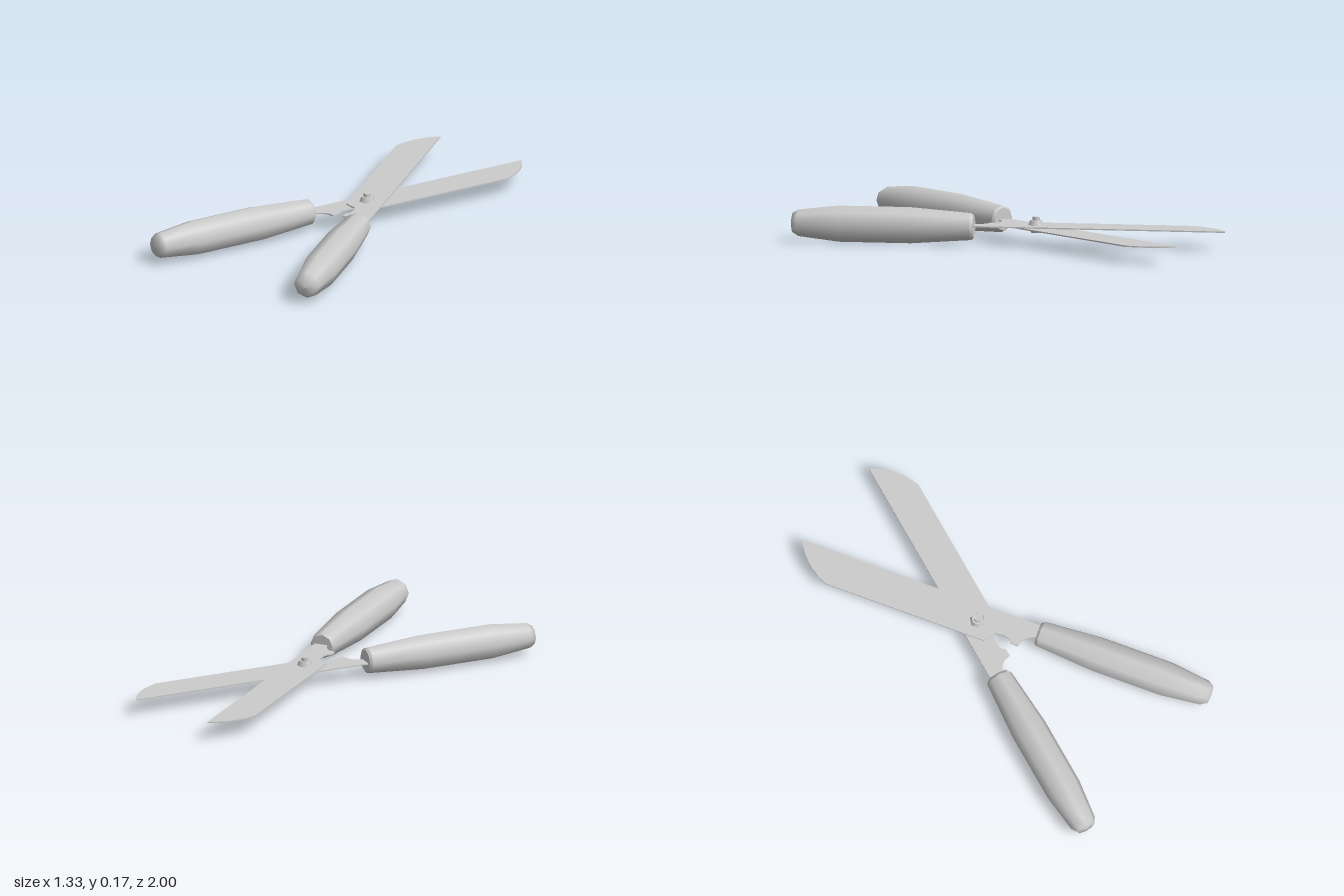
import * as THREE from 'three';

const grey = new THREE.MeshStandardMaterial({ color: 0xcccccc });
const PIVOT = [0.12, 0.086, -0.12];

function add(parent, geometry, name) {
  const mesh = new THREE.Mesh(geometry, grey);
  mesh.name = name;
  parent.add(mesh);
  return mesh;
}

// Blade and tang in one flat plate, drawn around the pivot with the tip at +y
function bladeGeometry() {
  const s = new THREE.Shape();
  s.moveTo(0.08, -0.34);
  s.lineTo(0.08, 0.88);
  s.quadraticCurveTo(-0.02, 0.84, -0.08, 0.71);
  s.lineTo(-0.08, -0.06);
  s.lineTo(-0.05, -0.085);
  s.lineTo(-0.03, -0.095);
  // notch
  s.quadraticCurveTo(-0.02, -0.13, -0.03, -0.165);
  s.lineTo(-0.048, -0.18);
  s.lineTo(-0.05, -0.215);
  s.lineTo(-0.022, -0.222);
  // neck into the handle
  s.quadraticCurveTo(0.01, -0.24, 0.018, -0.28);
  s.lineTo(0.018, -0.34);
  const g = new THREE.ExtrudeGeometry(s, { depth: 0.006, bevelEnabled: false, curveSegments: 6 });
  return g.rotateX(-Math.PI / 2).translate(0, 0.0015, 0);
}

// Eight-sided grip; repeated points keep the front rim sharp
function handleGeometry() {
  const profile = [
    [0, 0.28], [0.053, 0.28], [0.053, 0.28], [0.062, 0.292], [0.062, 0.292],
    [0.083, 0.57], [0.083, 0.9], [0.061, 1.085], [0.045, 1.112], [0, 1.12],
  ].map(([r, y]) => new THREE.Vector2(r, y));
  return new THREE.LatheGeometry(profile, 8).rotateX(Math.PI / 2).translate(0.045, 0, 0);
}

function makeHalf(name) {
  const half = new THREE.Group();
  half.name = name;
  add(half, bladeGeometry(), 'blade');
  add(half, handleGeometry(), 'handle');
  half.position.set(...PIVOT);
  return half;
}

export function createModel() {
  const model = new THREE.Group();
  model.name = 'gardenShears';

  const straight = makeHalf('straightHalf');
  const angled = makeHalf('angledHalf');
  // turned over, then swung open about the pivot
  angled.rotation.set(0, THREE.MathUtils.degToRad(-40.5), Math.PI);
  model.add(straight, angled);

  // Pivot bolt: hex nut on top, threaded end through it, round head below
  const bolt = new THREE.Group();
  bolt.name = 'pivotBolt';
  bolt.position.set(...PIVOT);
  add(bolt, new THREE.CylinderGeometry(0.028, 0.036, 0.022, 6), 'nut').position.y = 0.018;
  add(bolt, new THREE.CylinderGeometry(0.016, 0.018, 0.07, 10), 'shaft').position.y = 0.01;
  add(bolt, new THREE.CylinderGeometry(0.034, 0.024, 0.02, 10), 'head').position.y = -0.017;
  model.add(bolt);

  return model;
}
